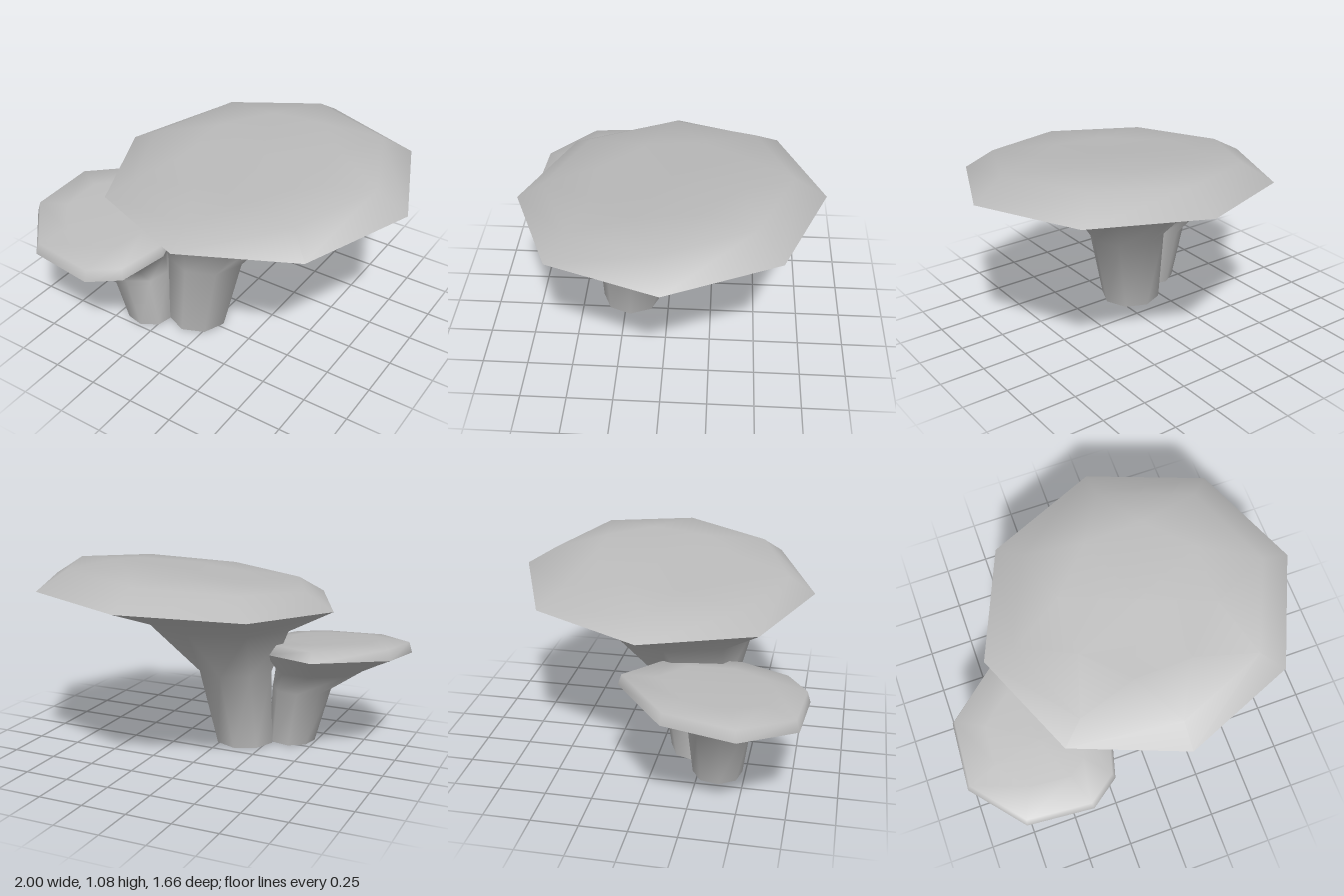
import * as THREE from 'three';

const SIDES = 8;

// Regular ring lying on a tilted plane: centre, radii, slopes in x and z, start angle
function ring(cx, cy, cz, rx, rz = rx, sx = 0, sz = 0, phase = 0) {
  return Array.from({ length: SIDES }, (_, i) => {
    const a = phase + (i / SIDES) * Math.PI * 2;
    const dx = Math.cos(a) * rx, dz = Math.sin(a) * rz;
    return [cx + dx, cy + dx * sx + dz * sz, cz + dz];
  });
}

// Smooth skin through a stack of rings, optionally closed by a fan at the top
function loft(name, rings, material, closeTop = false) {
  const points = rings.flat();
  const index = [];
  for (let r = 0; r < rings.length - 1; r++) {
    for (let i = 0; i < SIDES; i++) {
      const a = r * SIDES + i, b = r * SIDES + ((i + 1) % SIDES);
      const c = a + SIDES, d = b + SIDES;
      index.push(a, c, b, b, c, d);
    }
  }
  if (closeTop) {
    const last = rings[rings.length - 1];
    const start = (rings.length - 1) * SIDES;
    points.push([0, 1, 2].map((k) => last.reduce((s, p) => s + p[k], 0) / SIDES));
    for (let i = 0; i < SIDES; i++) index.push(start + i, points.length - 1, start + ((i + 1) % SIDES));
  }
  const geometry = new THREE.BufferGeometry();
  geometry.setAttribute('position', new THREE.Float32BufferAttribute(points.flat(), 3));
  geometry.setIndex(index);
  geometry.computeVertexNormals();
  const mesh = new THREE.Mesh(geometry, material);
  mesh.name = name;
  return mesh;
}

export function createModel() {
  const stone = new THREE.MeshStandardMaterial({ color: 0xbbbbbb, side: THREE.DoubleSide });
  stone.name = 'grey stone';
  const model = new THREE.Group();
  model.name = 'mushroomRocks';

  // Large rock: leaning flared stem with a broad tilted cap
  const large = new THREE.Group();
  large.name = 'largeMushroom';
  const largeRim = ring(0.146, 0.907, -0.02, 0.85, 0.813, 0.044, -0.043);
  large.add(
    loft('largeStem', [
      ring(-0.11, 0, 0.22, 0.17),
      ring(-0.06, 0.44, 0.19, 0.22),
      ring(-0.015, 0.728, 0.065, 0.41, 0.415, 0.025, -0.066),
      largeRim,
    ], stone),
    loft('largeCap', [
      largeRim,
      ring(0.145, 1.006, -0.005, 0.685, 0.655, 0.066, -0.065),
      ring(0.145, 1.029, -0.02, 0.415, 0.415, 0.085, -0.11, Math.PI / 8),
    ], stone, true),
  );

  // Small rock: uneven cap outline on a tilted plane
  const small = new THREE.Group();
  small.name = 'smallMushroom';
  const outline = [
    [-0.17, 0.45], [-0.24, 0.71], [-0.4, 0.825], [-0.765, 0.795],
    [-1, 0.52], [-0.97, 0.155], [-0.62, -0.13], [-0.28, 0.08],
  ];
  const capRing = (scale, lift) => outline.map(([x, z]) => {
    const dx = (x + 0.57) * scale, dz = (z - 0.37) * scale;
    return [-0.57 + dx, 0.55 + lift - 0.046 * dx - 0.11 * dz, 0.37 + dz];
  });
  const turn = -0.17;
  small.add(
    loft('smallStem', [
      ring(-0.355, 0, 0.35, 0.135, 0.135, 0, 0, turn),
      ring(-0.405, 0.32, 0.36, 0.17, 0.17, 0, 0, turn),
      ring(-0.5, 0.43, 0.37, 0.25, 0.25, -0.05, -0.08, turn),
      capRing(1, 0),
    ], stone),
    loft('smallCap', [capRing(1, 0), capRing(0.96, 0.06), capRing(0.6, 0.075)], stone, true),
  );

  model.add(large, small);
  return model;
}
